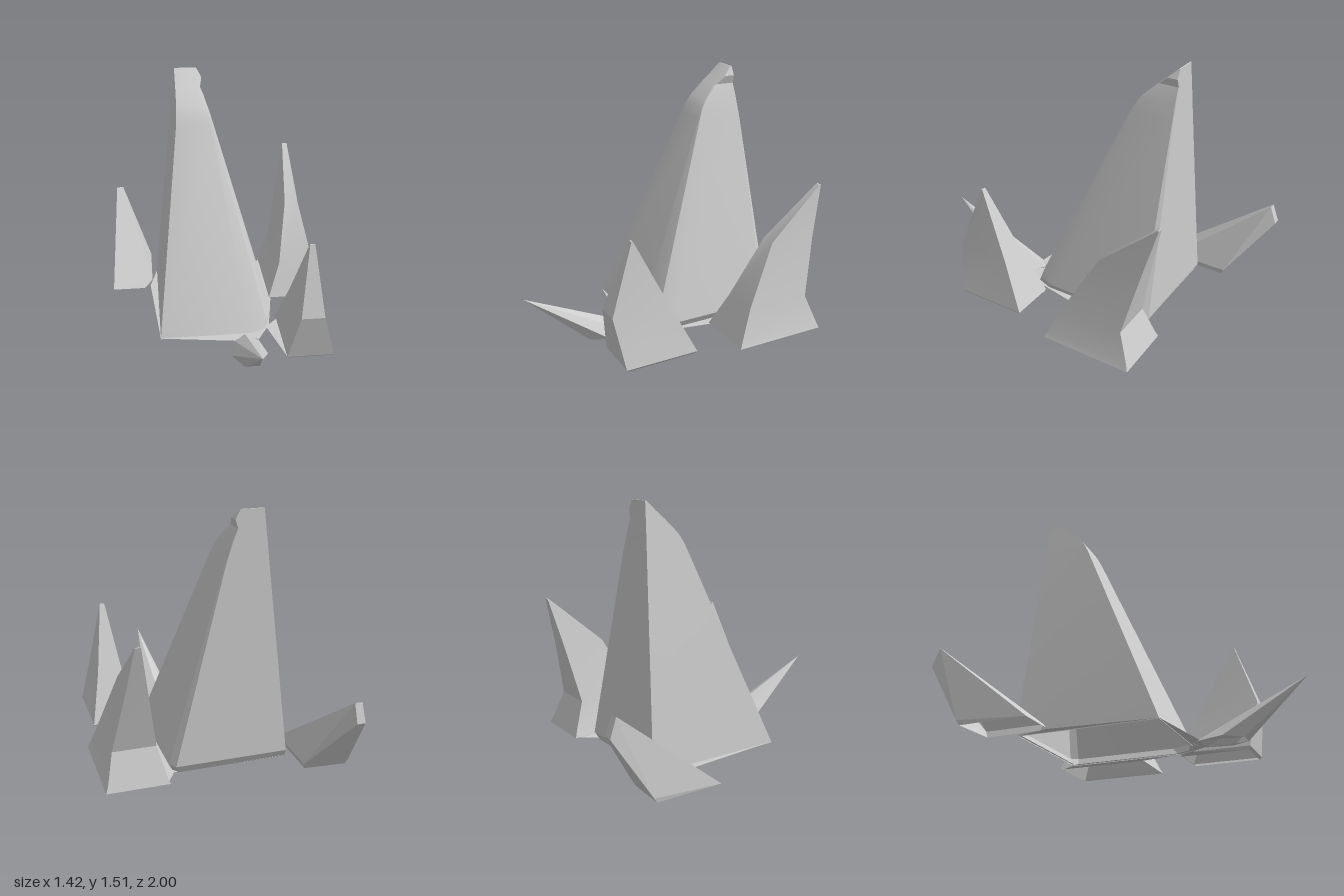
import * as THREE from 'three';
import { toCreasedNormals } from 'three/addons/utils/BufferGeometryUtils.js';
import { ConvexGeometry } from 'three/addons/geometries/ConvexGeometry.js';

// All parts are thin shells, open underneath
const material = new THREE.MeshStandardMaterial({ color: 0xcccccc, side: THREE.DoubleSide });

// Skins rings of [x, z] points at rising heights and closes the top.
// Each ring starts front left and runs round by the right to the back.
function loft(rings) {
  const n = rings[0].points.length;
  const positions = rings.flatMap(({ y, points }) => points.flatMap(([x, z]) => [x, y, z]));
  const index = [];
  for (let i = 0; i < rings.length - 1; i++) {
    for (let j = 0; j < n; j++) {
      const k = (j + 1) % n;
      const a = i * n + j, b = i * n + k;
      index.push(a, b, b + n, a, b + n, a + n);
    }
  }
  const top = (rings.length - 1) * n;
  for (let j = 1; j < n - 1; j++) index.push(top, top + j, top + j + 1);
  const geometry = new THREE.BufferGeometry();
  geometry.setAttribute('position', new THREE.Float32BufferAttribute(positions, 3));
  geometry.setIndex(index);
  return toCreasedNormals(geometry, 0.4);
}

// Four-cornered ring: front edge x0..x1 at zf, back edge x2..x3 at zb
const quad = (y, x0, x1, zf, x2, x3, zb) =>
  ({ y, points: [[x0, zf], [x1, zf], [x3, zb], [x2, zb]] });

// Ring of the main spire, with a rounded front right corner of size r
const spireRing = (y, frontLeft, backLeft, right, front, back, r) => ({
  y,
  points: [
    [frontLeft, front], [right - r, front], [right - r * 0.25, front - r * 0.3],
    [right, front - r], [right, back + r * 0.25], [right - r * 0.2, back], [backLeft, back],
  ],
});

// Convex shell without the faces that lie on the ground
function openHull(points) {
  const geometry = new ConvexGeometry(points.map((p) => new THREE.Vector3(...p)));
  const p = geometry.attributes.position;
  const index = [];
  for (let i = 0; i < p.count; i += 3) {
    if (Math.max(p.getY(i), p.getY(i + 1), p.getY(i + 2)) > 0.002) index.push(i, i + 1, i + 2);
  }
  geometry.setIndex(index);
  return geometry.toNonIndexed();
}

const shapePoints = (points) => points.map(([x, z]) => new THREE.Vector2(x, -z));

export function createModel() {
  const group = new THREE.Group();
  const add = (name, geometry) => {
    const mesh = new THREE.Mesh(geometry, material);
    mesh.name = name;
    group.add(mesh);
    return mesh;
  };

  // Tall spire with a steep back and a front that curls over at the top
  add('mainSpire', loft([
    spireRing(0, -0.41, -0.41, 0.285, 0.29, -0.555, 0.135),
    spireRing(0.05, -0.404, -0.405, 0.312, 0.27, -0.58, 0.165),
    spireRing(1.22, -0.258, -0.281, -0.025, -0.235, -0.525, 0.018),
    spireRing(1.28, -0.254, -0.275, -0.046, -0.265, -0.522, 0.015),
    spireRing(1.33, -0.251, -0.27, -0.062, -0.3, -0.52, 0.014),
    spireRing(1.41, -0.25, -0.261, -0.095, -0.385, -0.516, 0.012),
    spireRing(1.46, -0.25, -0.256, -0.08, -0.445, -0.514, 0.01),
    spireRing(1.515, -0.25, -0.25, -0.11, -0.505, -0.512, 0.002),
  ]));

  // Blade with a flared foot, leaning back
  add('backBlade', loft([
    quad(0.01, 0.34, 0.71, -0.11, 0.34, 0.71, -0.68),
    quad(0.05, 0.355, 0.695, -0.13, 0.355, 0.695, -0.665),
    quad(0.22, 0.42, 0.65, -0.205, 0.4, 0.655, -0.6),
    quad(0.58, 0.48, 0.57, -0.4, 0.46, 0.59, -0.68),
    quad(0.88, 0.512, 0.545, -0.745, 0.512, 0.545, -0.755),
  ]));

  // Wedge-shaped shard at the front
  add('frontShard', loft([
    quad(0.01, 0.35, 0.615, 0.57, 0.35, 0.615, 0.155),
    quad(0.025, 0.34, 0.625, 0.585, 0.34, 0.625, 0.135),
    quad(0.32, 0.405, 0.545, 0.63, 0.4, 0.56, 0.28),
    quad(0.73, 0.465, 0.495, 0.485, 0.465, 0.495, 0.475),
  ]));

  // Slender shard pointing forwards
  add('frontNeedle', openHull([
    [0.12, 0.335, 1], [0.12, 0.01, 0.3], [0.05, 0, 0.36], [0.2, 0, 0.36],
    [0.01, 0.005, 0.51], [0.235, 0.005, 0.51], [0.08, 0, 0.62], [0.17, 0, 0.62],
  ]));

  // Short shard leaning backwards
  add('backShard', openHull([
    [-0.675, 0.5, -0.96], [-0.63, 0.5, -0.96], [-0.68, 0.39, -1], [-0.63, 0.39, -1],
    [-0.715, 0, -0.335], [-0.5, 0, -0.335], [-0.445, 0.04, -0.38],
    [-0.445, 0.04, -0.75], [-0.715, 0.03, -0.77],
    [-0.46, 0, -0.73], [-0.46, 0, -0.39], [-0.71, 0, -0.75],
  ]));

  // Thin sheet joining the feet of the shards, open under the main spire
  const sheet = new THREE.Shape(shapePoints([
    [-0.41, 0.29], [0.05, 0.36], [0.12, 0.3], [0.2, 0.36], [0.27, 0.24], [0.35, 0.57],
    [0.35, 0.14], [0.29, 0.2], [0.35, -0.11], [0.35, -0.66], [0.285, -0.555],
    [-0.41, -0.56], [-0.46, -0.36],
  ]));
  sheet.holes.push(new THREE.Path(shapePoints([
    [-0.4, 0.28], [-0.4, -0.545], [0.27, -0.545], [0.275, 0.14], [0.24, 0.23], [0.15, 0.28],
  ])));
  add('baseSheet', new THREE.ShapeGeometry(sheet).rotateX(-Math.PI / 2)).position.y = 0.005;

  return group;
}
